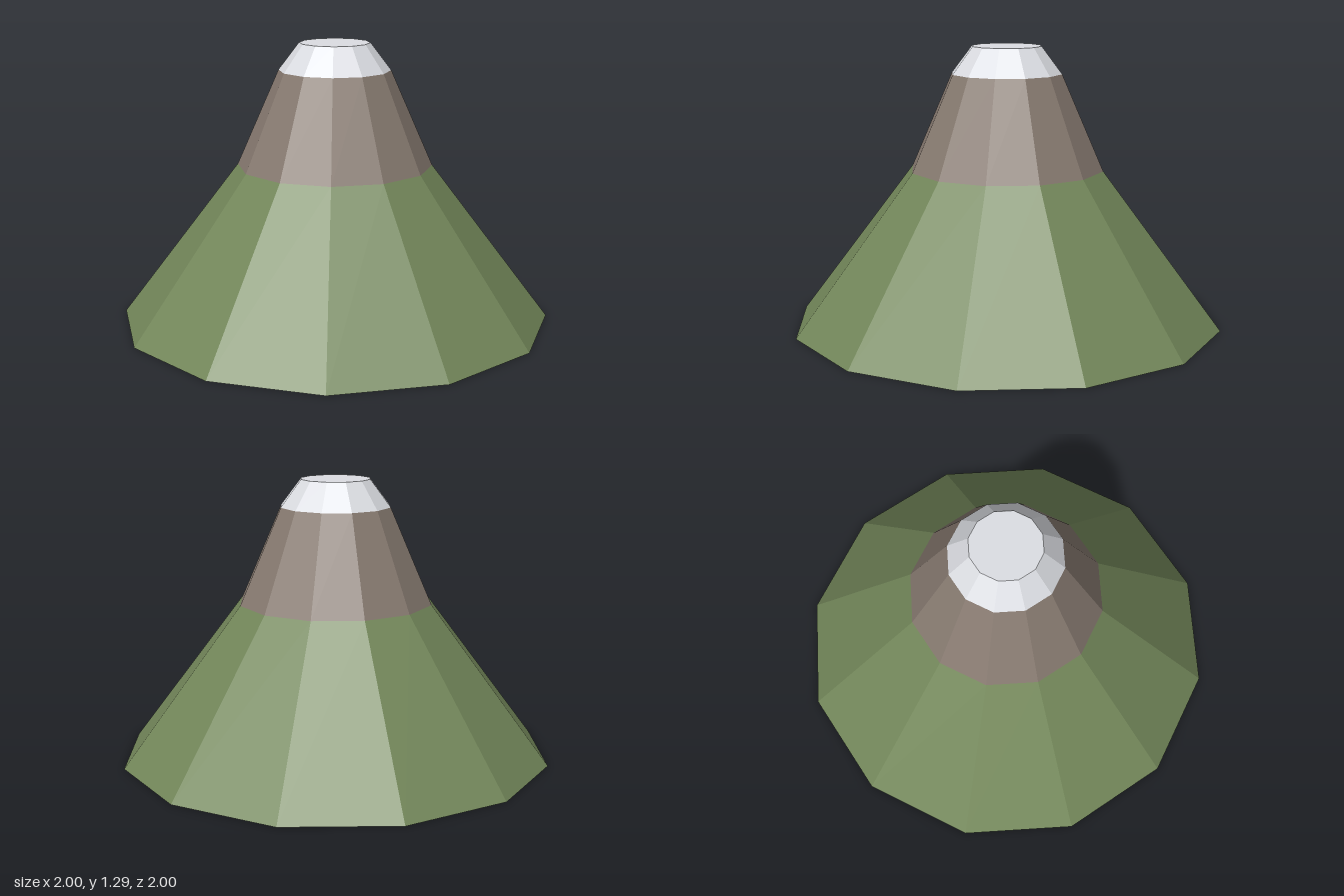
import * as THREE from 'three';

const SIDES = 12;

export function createModel() {
  const model = new THREE.Group();
  model.name = 'mountain';

  const material = (name, color) => {
    const m = new THREE.MeshStandardMaterial({ color, flatShading: true, side: THREE.DoubleSide });
    m.name = name;
    return m;
  };
  const grass = material('grass green', 0x73875a);
  const rock = material('rock brown', 0x897c72);
  const snow = material('snow white', 0xdcdee3);

  // open faceted band between two heights
  const band = (name, mat, y0, r0, y1, r1) => {
    const geometry = new THREE.CylinderGeometry(r1, r0, y1 - y0, SIDES, 1, true);
    const mesh = new THREE.Mesh(geometry, mat);
    mesh.name = name;
    mesh.position.y = (y0 + y1) / 2;
    model.add(mesh);
  };

  // flat twelve-sided disc, facing up or down
  const disc = (name, mat, y, r, up) => {
    const geometry = new THREE.CircleGeometry(r, SIDES);
    geometry.rotateX(up ? -Math.PI / 2 : Math.PI / 2);
    const mesh = new THREE.Mesh(geometry, mat);
    mesh.name = name;
    mesh.position.y = y;
    model.add(mesh);
  };

  // slopes from the open base to the summit
  band('grassSlope', grass, 0, 1, 0.725, 0.45);
  band('rockSlope', rock, 0.725, 0.45, 1.165, 0.257);
  band('snowSlope', snow, 1.165, 0.257, 1.29, 0.162);

  // flat summit and the ceiling inside the hollow base
  disc('summit', snow, 1.29, 0.162, true);
  disc('hollowCeiling', grass, 0.724, 0.45, false);

  return model;
}
